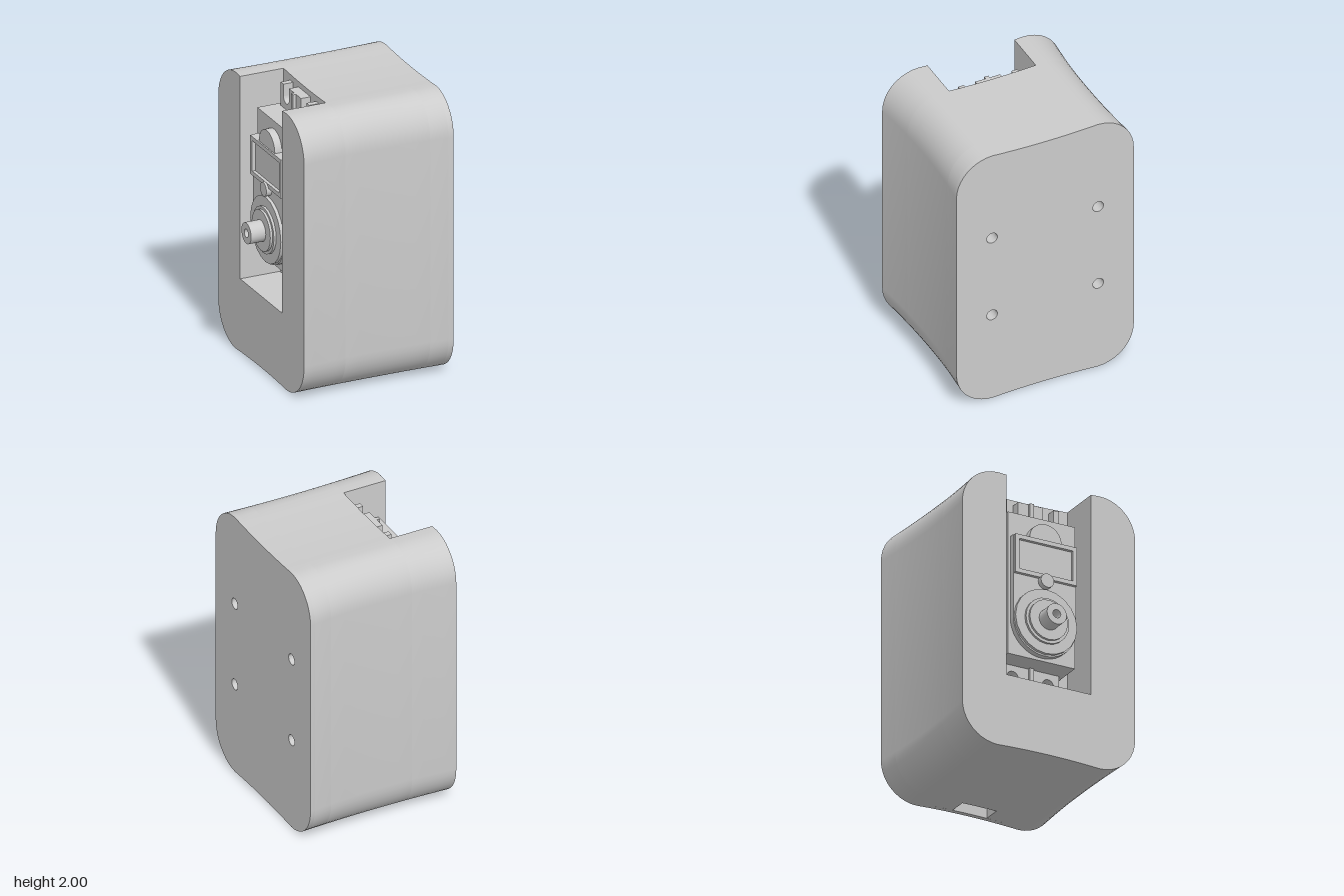
import * as THREE from 'three';
import { toCreasedNormals } from 'three/addons/utils/BufferGeometryUtils.js';

const material = new THREE.MeshStandardMaterial({ color: 0xcccccc });

// Extrudes a (z, y) outline along x, from x0 to x1
function slab(shape, x0, x1, steps = 1) {
  const geo = new THREE.ExtrudeGeometry(shape, {
    depth: x1 - x0, steps, curveSegments: 10, bevelEnabled: false,
  });
  geo.rotateY(-Math.PI / 2);
  geo.translate(x1, 0, 0);
  return geo;
}

function add(group, name, geo) {
  const mesh = new THREE.Mesh(toCreasedNormals(geo, 0.5), material);
  mesh.name = name;
  group.add(mesh);
  return mesh;
}

function rect(z0, y0, z1, y1, Type = THREE.Shape) {
  const s = new Type();
  s.moveTo(z0, y0);
  s.lineTo(z1, y0);
  s.lineTo(z1, y1);
  s.lineTo(z0, y1);
  s.closePath();
  return s;
}

function disc(z, y, r, Type = THREE.Shape) {
  const s = new Type();
  s.absarc(z, y, r, 0, Math.PI * 2, false);
  return s;
}

// Rounded housing section with slightly hollow top and bottom
function section({ slot = false, pocket = false, holes = false }) {
  const s = new THREE.Shape();
  const k = 0.12;
  s.moveTo(-0.39, 0);
  if (slot) {
    s.quadraticCurveTo(-0.26, 0.008, -0.13, 0.011);
    s.lineTo(-0.13, 0.3);
    s.lineTo(0.13, 0.3);
    s.lineTo(0.13, 0.011);
    s.quadraticCurveTo(0.26, 0.008, 0.39, 0);
  } else s.quadraticCurveTo(0, 0.024, 0.39, 0);
  s.bezierCurveTo(0.66 - k, 0, 0.66, k, 0.66, 0.27);
  s.lineTo(0.66, 1.73);
  s.bezierCurveTo(0.66, 2 - k, 0.66 - k, 2, 0.39, 2);
  if (pocket) {
    s.lineTo(0.323, 1.996);
    s.lineTo(0.323, 0.53);
    s.lineTo(-0.323, 0.53);
    s.lineTo(-0.323, 1.996);
    s.lineTo(-0.39, 2);
  } else s.quadraticCurveTo(0, 1.976, -0.39, 2);
  s.bezierCurveTo(-0.66 + k, 2, -0.66, 2 - k, -0.66, 1.73);
  s.lineTo(-0.66, 0.27);
  s.bezierCurveTo(-0.66, k, -0.66 + k, 0, -0.39, 0);
  if (holes) {
    for (const z of [-0.395, 0.395])
      for (const y of [0.685, 1.32]) s.holes.push(disc(z, y, 0.04, THREE.Path));
  }
  return s;
}

// Draws the front and back walls inwards towards the middle of x
function waist(geo) {
  const p = geo.attributes.position;
  for (let i = 0; i < p.count; i++) {
    const u = (p.getX(i) - 0.053) / 0.553;
    const z = p.getZ(i);
    const t = THREE.MathUtils.clamp((Math.abs(z) - 0.44) / 0.22, 0, 1);
    p.setZ(i, z - Math.sign(z) * 0.033 * t * (1 - u * u));
  }
  return geo;
}

function buildHousing() {
  const g = new THREE.Group();
  g.name = 'housing';
  add(g, 'mountingFace', waist(slab(section({ holes: true }), 0.57, 0.605)));
  add(g, 'slottedSection', waist(slab(section({ slot: true, holes: true }), 0.44, 0.57)));
  add(g, 'middleSection', waist(slab(section({}), -0.18, 0.44, 6)));
  add(g, 'pocketSection', waist(slab(section({ pocket: true }), -0.5, -0.18, 4)));
  return g;
}

// Mounting ear with two open screw slots; dir is +1 for the top, -1 for the bottom
function earShape(yIn, yOut, dir) {
  const s = new THREE.Shape();
  const floor = yIn + dir * 0.085;
  s.moveTo(-0.22, yIn);
  s.lineTo(-0.22, yOut);
  for (const z of [-0.135, 0.135]) {
    s.lineTo(z - 0.042, yOut);
    s.lineTo(z - 0.042, floor);
    s.absarc(z, floor, 0.042, Math.PI, 0, dir < 0);
    s.lineTo(z + 0.042, yOut);
  }
  s.lineTo(0.22, yOut);
  s.lineTo(0.22, yIn);
  s.closePath();
  return s;
}

function buildMotor() {
  const g = new THREE.Group();
  g.name = 'servoMotor';
  add(g, 'motorCase', slab(rect(-0.258, 0.74, 0.253, 1.78), -0.405, -0.18));

  // Ears with a thin stiffening rib each
  for (const [yIn, yOut, dir] of [[1.78, 1.95, 1], [0.74, 0.57, -1]]) {
    add(g, 'mountingEar', slab(earShape(yIn, yOut, dir), -0.25, -0.18));
    add(g, 'earRib', slab(
      rect(-0.015, Math.min(yIn, yOut), 0.015, Math.max(yIn, yOut)), -0.272, -0.25));
  }

  // Gearbox cover, rounded around the shaft
  const cover = new THREE.Shape();
  cover.moveTo(-0.24, 1.6);
  cover.lineTo(-0.24, 1.0);
  cover.absarc(0, 1.0, 0.24, Math.PI, Math.PI * 2, false);
  cover.lineTo(0.24, 1.6);
  cover.closePath();
  add(g, 'gearCover', slab(cover, -0.445, -0.405));

  // Framed panel with round bosses above and below
  const frame = rect(-0.235, 1.32, 0.235, 1.6);
  frame.holes.push(rect(-0.205, 1.35, 0.205, 1.57, THREE.Path));
  add(g, 'panelFrame', slab(frame, -0.468, -0.445));
  const boss = new THREE.Shape();
  boss.absarc(0, 1.6, 0.122, 0, Math.PI, false);
  boss.closePath();
  add(g, 'upperBoss', slab(boss, -0.458, -0.405));
  add(g, 'lowerBoss', slab(disc(0, 1.3, 0.05), -0.485, -0.445));

  // Stepped collar and hollow output shaft
  for (const [r, x0, x1] of [[0.235, -0.468, -0.445], [0.165, -0.485, -0.468], [0.145, -0.502, -0.485]])
    add(g, 'shaftCollar', slab(disc(0, 1.005, r), x0, x1));
  const shaft = disc(0, 1.005, 0.075);
  shaft.holes.push(disc(0, 1.005, 0.03, THREE.Path));
  add(g, 'outputShaft', slab(shaft, -0.61, -0.502));
  return g;
}

export function createModel() {
  const model = new THREE.Group();
  model.name = 'servoHousing';
  model.add(buildHousing(), buildMotor());
  return model;
}
